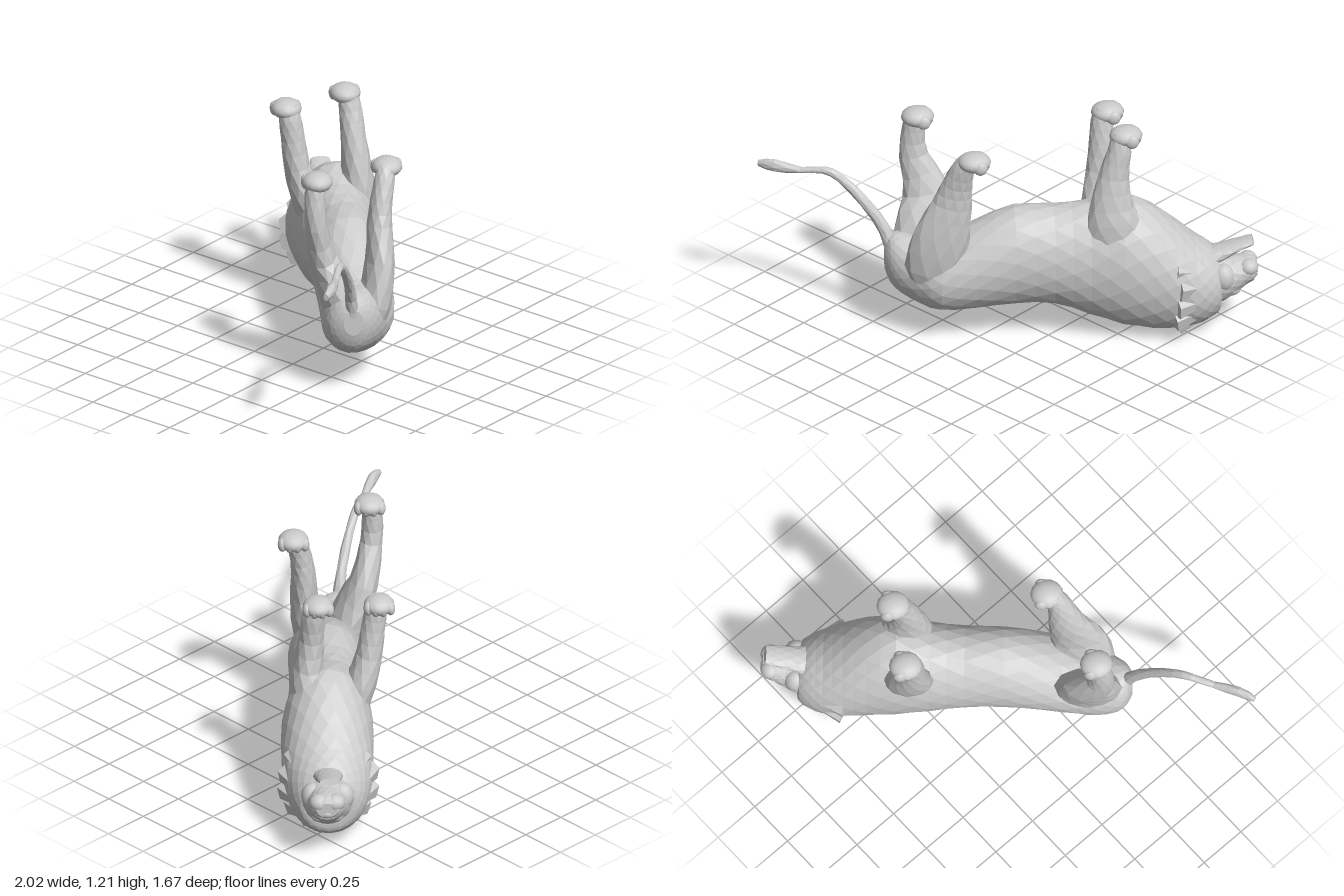
import * as THREE from 'three';

const faceted = new THREE.MeshStandardMaterial({ color: 0xcccccc, flatShading: true });
const smooth = new THREE.MeshStandardMaterial({ color: 0xcccccc });

// Skin over elliptical rings: each section is [x, y, z, radius, sideRadius].
// Rings follow the path unless a fixed axis is given.
function loft(name, sections, sides, axis) {
  const centres = new THREE.CatmullRomCurve3(
    sections.map((s) => new THREE.Vector3(s[0], s[1], s[2])), false, 'catmullrom', 0.5);
  const radii = new THREE.CatmullRomCurve3(
    sections.map((s) => new THREE.Vector3(s[3], s[4], 0)), false, 'catmullrom', 0.5);
  const rings = (sections.length - 1) * 2;
  const pos = [], idx = [];
  for (let i = 0; i <= rings; i++) {
    const c = centres.getPoint(i / rings), r = radii.getPoint(i / rings);
    const t = axis || centres.getTangent(i / rings);
    const v = new THREE.Vector3(0, 0, 1).addScaledVector(t, -t.z).normalize();
    const u = v.clone().cross(t);
    for (let j = 0; j < sides; j++) {
      // half-step twist on every other ring gives diagonal facets
      const a = ((j + (i % 2) * 0.5) / sides) * Math.PI * 2;
      const p = c.clone().addScaledVector(u, Math.cos(a) * r.x).addScaledVector(v, Math.sin(a) * r.y);
      pos.push(p.x, p.y, p.z);
    }
  }
  for (let i = 0; i < rings; i++) {
    for (let j = 0; j < sides; j++) {
      const k = (j + 1) % sides;
      const a = i * sides + j, b = i * sides + k, c = a + sides, d = b + sides;
      if (i % 2 === 0) idx.push(a, b, c, b, d, c);
      else idx.push(a, b, d, a, d, c);
    }
  }
  // end caps
  const first = centres.getPoint(0), last = centres.getPoint(1), n = pos.length / 3;
  pos.push(first.x, first.y, first.z, last.x, last.y, last.z);
  for (let j = 0; j < sides; j++) {
    const k = (j + 1) % sides;
    idx.push(n, k, j, n + 1, rings * sides + j, rings * sides + k);
  }
  const geo = new THREE.BufferGeometry();
  geo.setAttribute('position', new THREE.Float32BufferAttribute(pos, 3));
  geo.setIndex(idx);
  geo.computeVertexNormals();
  const mesh = new THREE.Mesh(geo, faceted);
  mesh.name = name;
  return mesh;
}

function blob(name, x, y, z, rx, ry, rz) {
  const mesh = new THREE.Mesh(new THREE.SphereGeometry(1, 14, 10), smooth);
  mesh.name = name;
  mesh.position.set(x, y, z);
  mesh.scale.set(rx, ry, rz);
  return mesh;
}

// Leg shaft with a padded, four-toed paw
function leg(name, sections, [px, py, pz]) {
  const g = new THREE.Group();
  g.name = name;
  g.add(loft('legShaft', sections, 10));
  g.add(blob('paw', px, py, pz, 0.085, 0.05, 0.078));
  for (let i = 0; i < 4; i++) {
    const off = (i - 1.5) * 0.038;
    g.add(blob('toe', px + 0.05 - Math.abs(off) * 0.4, py - 0.008, pz + off, 0.036, 0.038, 0.024));
  }
  return g;
}

export function createModel() {
  const model = new THREE.Group();
  model.name = 'lyingLion';
  // The animal lies on its back; its length runs along local x, head at +x
  const lion = new THREE.Group();
  lion.name = 'lion';
  lion.rotation.y = 0.82;
  model.add(lion);

  lion.add(loft('body', [
    [-0.655, 0.41, 0.06, 0.07, 0.05], [-0.63, 0.40, 0.06, 0.13, 0.095],
    [-0.58, 0.38, 0.065, 0.165, 0.135], [-0.48, 0.35, 0.09, 0.185, 0.17],
    [-0.38, 0.335, 0.12, 0.193, 0.19], [-0.20, 0.385, 0.13, 0.235, 0.195],
    [0.0, 0.435, 0.13, 0.27, 0.195], [0.20, 0.43, 0.13, 0.272, 0.20],
    [0.38, 0.405, 0.135, 0.315, 0.215], [0.55, 0.395, 0.145, 0.365, 0.235],
    [0.70, 0.35, 0.15, 0.345, 0.235], [0.82, 0.30, 0.15, 0.297, 0.23],
    [0.92, 0.265, 0.15, 0.245, 0.212], [0.99, 0.255, 0.15, 0.205, 0.185],
    [1.04, 0.25, 0.15, 0.16, 0.15], [1.05, 0.25, 0.15, 0.12, 0.12],
  ], 18, new THREE.Vector3(1, 0, 0)));

  // Broad overlapping locks lying along the rim of the mane
  const mane = new THREE.Group();
  mane.name = 'mane';
  const locks = 14;
  for (let i = 0; i < locks; i++) {
    const a = (i / locks) * Math.PI * 2, c = Math.cos(a), s = Math.sin(a);
    const lock = new THREE.Mesh(new THREE.ConeGeometry(0.07, 0.24 + 0.02 * (i % 3), 6), faceted);
    lock.name = 'maneLock';
    lock.position.set(0.935, 0.262 + c * 0.185, 0.15 + s * 0.162);
    lock.quaternion.setFromUnitVectors(new THREE.Vector3(0, 1, 0),
      new THREE.Vector3(1, c * -0.32, s * -0.32).normalize());
    mane.add(lock);
  }
  lion.add(mane);

  // Head, upside down: jaw on top, brow below
  const head = new THREE.Group();
  head.name = 'head';
  head.add(loft('skull', [
    [0.95, 0.27, 0.155, 0.16, 0.15], [1.04, 0.28, 0.16, 0.135, 0.13],
    [1.10, 0.295, 0.163, 0.105, 0.11], [1.16, 0.316, 0.165, 0.08, 0.092],
    [1.21, 0.326, 0.165, 0.065, 0.08], [1.235, 0.326, 0.165, 0.04, 0.055],
  ], 14));
  head.add(loft('lowerJaw', [
    [0.97, 0.385, 0.155, 0.05, 0.09], [1.06, 0.42, 0.155, 0.038, 0.07],
    [1.15, 0.458, 0.155, 0.024, 0.06], [1.215, 0.48, 0.155, 0.018, 0.05],
  ], 10));
  for (const s of [-1, 1]) {
    head.add(blob('muzzlePad', 1.19, 0.348, 0.165 + s * 0.04, 0.05, 0.045, 0.052));
    head.add(blob('brow', 1.10, 0.228, 0.163 + s * 0.045, 0.05, 0.035, 0.042));
    head.add(blob('cheek', 1.06, 0.31, 0.16 + s * 0.075, 0.06, 0.075, 0.06));
  }
  head.add(blob('nose', 1.215, 0.298, 0.165, 0.025, 0.025, 0.035));
  lion.add(head);

  lion.add(leg('frontRightLeg', [
    [0.49, 0.45, 0.03, 0.12, 0.08], [0.48, 0.65, -0.03, 0.125, 0.08],
    [0.47, 0.80, -0.07, 0.09, 0.068], [0.465, 0.95, -0.09, 0.068, 0.062],
    [0.465, 1.06, -0.105, 0.058, 0.058], [0.475, 1.13, -0.115, 0.045, 0.05],
  ], [0.495, 1.105, -0.12]));
  lion.add(leg('frontLeftLeg', [
    [0.53, 0.36, 0.20, 0.14, 0.08], [0.505, 0.60, 0.24, 0.15, 0.095],
    [0.49, 0.75, 0.24, 0.115, 0.08], [0.50, 0.92, 0.225, 0.08, 0.065],
    [0.53, 1.06, 0.215, 0.062, 0.06], [0.54, 1.16, 0.20, 0.045, 0.05],
  ], [0.565, 1.14, 0.193]));
  lion.add(leg('hindRightLeg', [
    [-0.42, 0.28, 0.06, 0.16, 0.10], [-0.43, 0.52, 0.0, 0.175, 0.095],
    [-0.43, 0.70, -0.07, 0.125, 0.075], [-0.495, 0.90, -0.11, 0.075, 0.058],
    [-0.495, 1.05, -0.115, 0.06, 0.055], [-0.485, 1.15, -0.11, 0.05, 0.05],
  ], [-0.475, 1.13, -0.10]));
  lion.add(leg('hindLeftLeg', [
    [-0.41, 0.23, 0.14, 0.11, 0.08], [-0.41, 0.42, 0.20, 0.155, 0.09],
    [-0.375, 0.62, 0.235, 0.145, 0.075], [-0.325, 0.80, 0.24, 0.105, 0.065],
    [-0.30, 0.92, 0.253, 0.08, 0.057], [-0.27, 1.03, 0.275, 0.06, 0.053],
    [-0.24, 1.085, 0.285, 0.045, 0.045],
  ], [-0.215, 1.075, 0.295]));

  // Tail with a slim tuft at the tip
  lion.add(loft('tail', [
    [-0.61, 0.40, 0.063, 0.04, 0.04], [-0.65, 0.55, 0.047, 0.033, 0.03],
    [-0.75, 0.70, 0.016, 0.028, 0.025], [-0.874, 0.825, -0.031, 0.024, 0.022],
    [-0.958, 0.857, -0.062, 0.02, 0.02], [-1.07, 0.843, -0.094, 0.016, 0.018],
    [-1.20, 0.853, -0.134, 0.036, 0.026], [-1.28, 0.85, -0.172, 0.018, 0.014],
  ], 8));
  return model;
}
